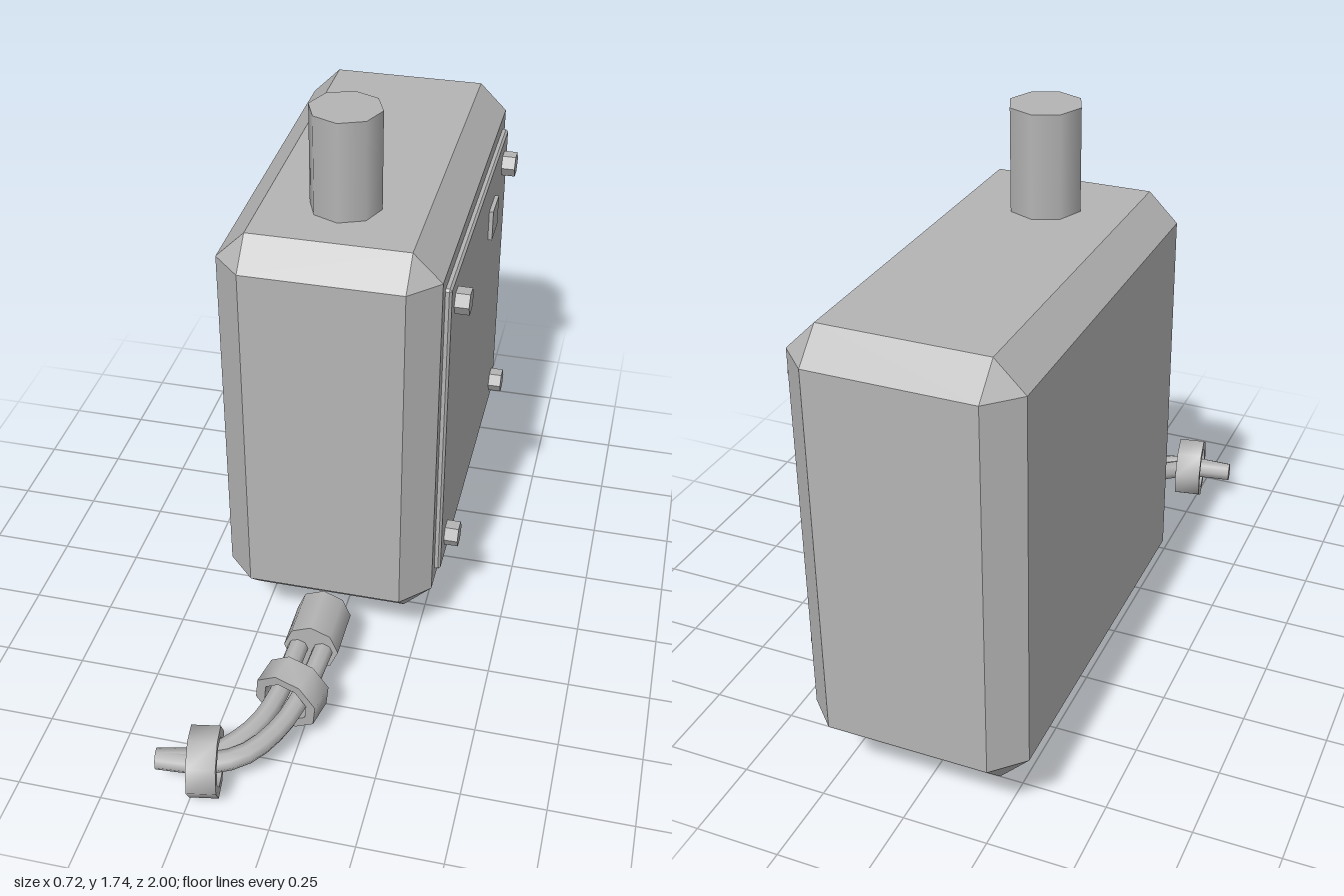
import * as THREE from 'three';
import { toCreasedNormals } from 'three/addons/utils/BufferGeometryUtils.js';
import { ConvexGeometry } from 'three/addons/geometries/ConvexGeometry.js';

const steel = new THREE.MeshStandardMaterial({ color: 0xb4b4b4 });
steel.name = 'grey metal';

// Box with every edge and corner cut off at 45 degrees
function chamferedBox(w, h, d, c) {
  const points = [];
  for (const x of [-1, 1]) for (const y of [-1, 1]) for (const z of [-1, 1]) {
    for (let full = 0; full < 3; full++) {
      const cut = [c, c, c];
      cut[full] = 0;
      points.push(new THREE.Vector3(x * (w / 2 - cut[0]), y * (h / 2 - cut[1]), z * (d / 2 - cut[2])));
    }
  }
  return new ConvexGeometry(points);
}

// Eight-sided ring with a square section, axis along y
function ringGeometry(outer, inner, width) {
  const h = width / 2;
  const profile = [[outer, -h], [outer, h], [inner, h], [inner, -h], [outer, -h]];
  const lathe = new THREE.LatheGeometry(profile.map(p => new THREE.Vector2(...p)), 8);
  return toCreasedNormals(lathe, Math.PI / 3);
}

export function createModel() {
  const model = new THREE.Group();
  const add = (name, geometry, x = 0, y = 0, z = 0) => {
    const mesh = new THREE.Mesh(geometry, steel);
    mesh.name = name;
    mesh.position.set(x, y, z);
    model.add(mesh);
    return mesh;
  };

  // Housing and the pipes entering it
  add('housing', chamferedBox(0.64, 1.27, 1.275, 0.085), -0.02, 0.805, -0.3625);
  add('topPipe', new THREE.CylinderGeometry(0.105, 0.105, 0.3, 8), -0.02, 1.59, -0.025);
  add('cableSocket', new THREE.CylinderGeometry(0.084, 0.084, 0.167, 8), -0.02, 0.167, 0.3585)
    .rotation.x = Math.PI / 2;

  // Side cover with its four bolts and a small label plate
  add('sideCover', chamferedBox(0.036, 1.015, 1.02, 0.007), 0.3, 0.805, -0.36);
  add('labelPlate', new THREE.BoxGeometry(0.015, 0.1, 0.11), 0.3235, 1.145, -0.575);
  const boltGeometry = toCreasedNormals(new THREE.CylinderGeometry(0.039, 0.039, 0.045, 6), 0.5);
  for (const y of [0.38, 1.23]) for (const z of [0.063, -0.787]) {
    add('bolt', boltGeometry, 0.3375, y, z).rotation.z = -Math.PI / 2;
  }

  // Two cables running side by side and bending away to the right
  const cables = [
    [[-0.058, 0.167, 0.4], [-0.063, 0.16, 0.5], [-0.07, 0.147, 0.61], [-0.1, 0.13, 0.73],
      [-0.155, 0.117, 0.815], [-0.225, 0.108, 0.875], [-0.352, 0.104, 0.908]],
    [[0.018, 0.167, 0.4], [0.012, 0.16, 0.5], [-0.003, 0.147, 0.61], [-0.04, 0.13, 0.74],
      [-0.11, 0.117, 0.845], [-0.21, 0.108, 0.895], [-0.352, 0.104, 0.908]],
  ];
  for (const points of cables) {
    const curve = new THREE.CatmullRomCurve3(points.map(p => new THREE.Vector3(...p)));
    add('cable', new THREE.TubeGeometry(curve, 14, 0.031, 8));
  }
  // Closed cable end
  add('cableEnd', new THREE.CylinderGeometry(0.031, 0.031, 0.02, 8), -0.347, 0.104, 0.907)
    .quaternion.setFromUnitVectors(new THREE.Vector3(0, 1, 0), new THREE.Vector3(-0.985, 0, 0.17).normalize());

  // Clamps holding the cables together
  const clampGeometry = ringGeometry(0.104, 0.073, 0.085);
  const clamps = [
    [[-0.035, 0.145, 0.607], [-0.24, -0.1, 0.96]],
    [[-0.217, 0.105, 0.888], [-0.98, 0, 0.18]],
  ];
  for (const [position, axis] of clamps) {
    add('cableClamp', clampGeometry, ...position).quaternion.setFromUnitVectors(
      new THREE.Vector3(0, 1, 0), new THREE.Vector3(...axis).normalize());
  }
  return model;
}
